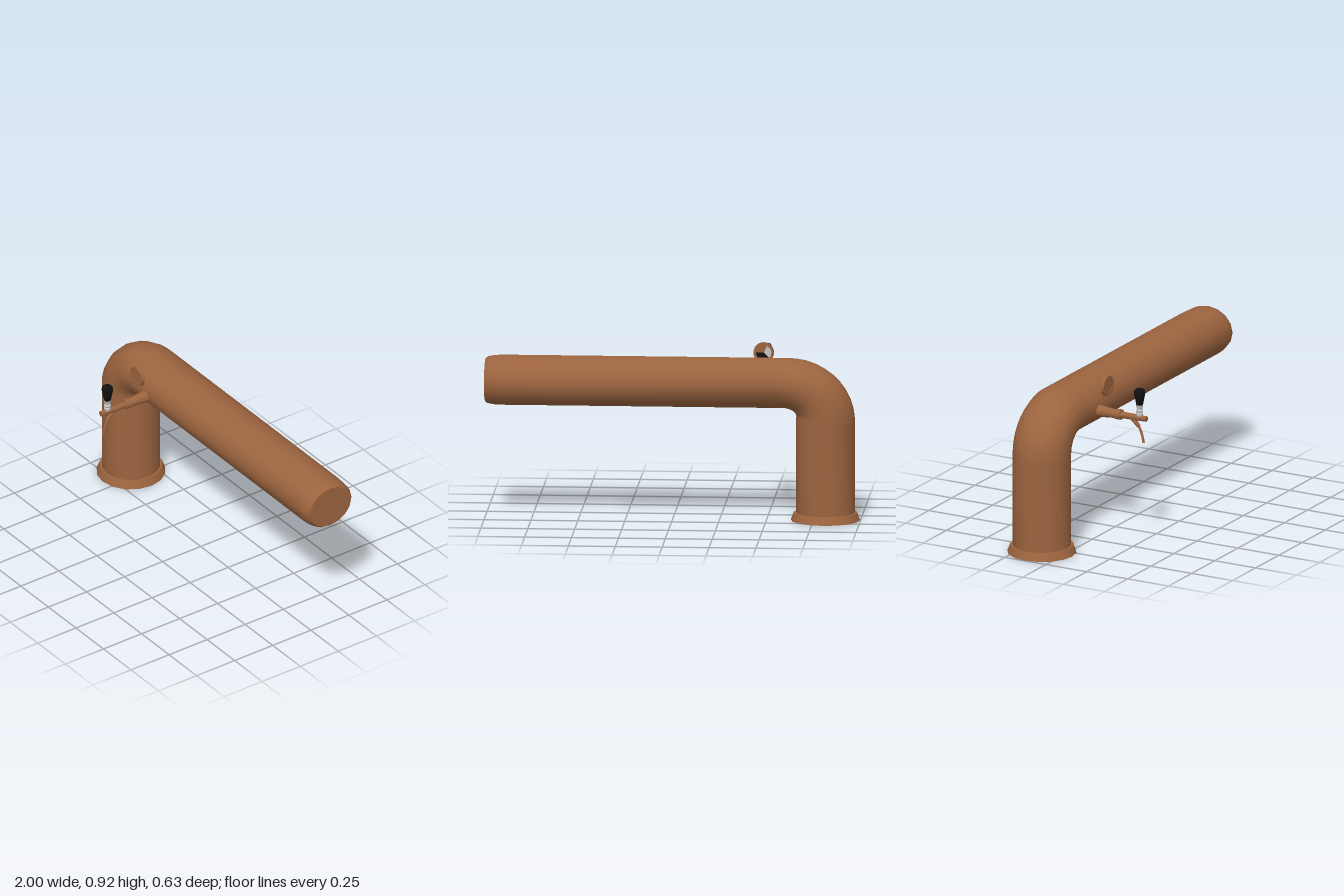
import * as THREE from 'three';

const copper = new THREE.MeshStandardMaterial({ color: 0x9c643f, side: THREE.DoubleSide });
copper.name = 'copper';
const black = new THREE.MeshStandardMaterial({ color: 0x111111 });
black.name = 'black';
const silver = new THREE.MeshStandardMaterial({ color: 0xc4c4c4 });
silver.name = 'silver';

const SIDES = 16, COLUMN_X = -0.813, PIPE_Y = 0.737, PIPE_Z = -0.13, TAP_X = -0.47, TAP_Y = 0.715;

function add(parent, name, geometry, material, x = 0, y = 0, z = 0) {
  const mesh = new THREE.Mesh(geometry, material);
  mesh.name = name;
  mesh.position.set(x, y, z);
  parent.add(mesh);
  return mesh;
}

// Lathe from [radius, height] pairs; each pair of points is its own band so edges stay crisp
function turned(parent, name, profile, material, sides = SIDES) {
  const group = new THREE.Group();
  group.name = name;
  for (let i = 0; i < profile.length - 1; i++) {
    const pts = [profile[i], profile[i + 1]].map(([r, h]) => new THREE.Vector2(r, h));
    add(group, name + 'Band', new THREE.LatheGeometry(pts, sides), material);
  }
  parent.add(group);
  return group;
}

// Elliptical rings { x, y, angle, r, depth } joined into one smooth bent pipe
function pipeGeometry(rings) {
  const pos = [], index = [];
  rings.forEach(({ x, y, angle, r, depth }, i) => {
    for (let j = 0; j < SIDES; j++) {
      const a = (j / SIDES) * Math.PI * 2, d = r * Math.cos(a);
      pos.push(x - Math.cos(angle) * d, y + Math.sin(angle) * d, PIPE_Z + depth * Math.sin(a));
      if (i === rings.length - 1) continue;
      const p = i * SIDES + j, q = i * SIDES + (j + 1) % SIDES;
      index.push(p, q, p + SIDES, q, q + SIDES, p + SIDES);
    }
  });
  const g = new THREE.BufferGeometry();
  g.setAttribute('position', new THREE.Float32BufferAttribute(pos, 3));
  g.setIndex(index);
  g.computeVertexNormals();
  return g;
}

export function createModel() {
  const model = new THREE.Group();
  model.name = 'tapTower';

  // Column, elbow and long arm with a rounded end
  const rings = [0.01, 0.3, 0.52].map(y => ({ x: COLUMN_X, y, angle: 0, r: 0.157, depth: 0.157 }));
  for (let i = 0; i <= 10; i++) {
    const t = (i / 10) * Math.PI / 2;
    rings.push({
      x: -0.6 - 0.213 * Math.cos(t), y: 0.55 + 0.187 * Math.sin(t),
      angle: t, r: 0.157 - 0.022 * i / 10, depth: 0.157,
    });
  }
  for (const [x, s] of [[-0.55, 1], [0.2, 1], [0.9, 1], [0.95, 0.985], [0.985, 0.94], [1, 0.86]])
    rings.push({ x, y: PIPE_Y, angle: Math.PI / 2, r: 0.135 * s, depth: 0.157 * s });
  add(model, 'pipe', pipeGeometry(rings), copper);

  const cap = add(model, 'pipeEndCap', new THREE.CircleGeometry(1, SIDES), copper, 1, PIPE_Y, PIPE_Z);
  cap.rotation.y = Math.PI / 2;
  cap.scale.set(0.157 * 0.86, 0.135 * 0.86, 1);

  // Flared foot ring, open underneath
  const foot = turned(model, 'footRing', [[0.16, 0], [0.185, 0], [0.169, 0.042], [0.156, 0.042]], copper);
  foot.position.set(COLUMN_X, 0, PIPE_Z);

  // Tap shank, nut and barrel along +z
  const tap = new THREE.Group();
  tap.name = 'tap';
  tap.position.set(TAP_X, TAP_Y, 0);
  model.add(tap);
  const barrel = turned(tap, 'tapBarrel', [
    [0.036, -0.01], [0.023, 0.131], [0.028, 0.131], [0.028, 0.164], [0.018, 0.164],
    [0.017, 0.23], [0.015, 0.316], [0, 0.316],
  ], copper);
  barrel.rotation.x = Math.PI / 2;

  // Spout: thick neck then a thin curved outlet
  const neck = new THREE.LineCurve3(new THREE.Vector3(0, -0.002, 0.228), new THREE.Vector3(0, -0.05, 0.27));
  const neckMesh = add(tap, 'spoutNeck', new THREE.CylinderGeometry(0.016, 0.01, 0.064, 12), copper);
  neckMesh.position.copy(neck.getPoint(0.5));
  neckMesh.quaternion.setFromUnitVectors(new THREE.Vector3(0, -1, 0), neck.getTangent(0));
  const outlet = new THREE.CatmullRomCurve3([
    new THREE.Vector3(0, -0.042, 0.264), new THREE.Vector3(0, -0.062, 0.276),
    new THREE.Vector3(0, -0.095, 0.289), new THREE.Vector3(0, -0.136, 0.298),
  ]);
  add(tap, 'spoutOutlet', new THREE.TubeGeometry(outlet, 8, 0.007, 10), copper);

  // Collar and handle above the barrel
  const lever = new THREE.Group();
  lever.name = 'lever';
  lever.position.set(0, 0, 0.273);
  tap.add(lever);
  turned(lever, 'collar', [
    [0.017, 0.012], [0.018, 0.026], [0.014, 0.03], [0.019, 0.036], [0.019, 0.044],
    [0.014, 0.049], [0.02, 0.073], [0, 0.073],
  ], silver);
  const grip = [[0, 0.073], [0.018, 0.073], [0.031, 0.14], [0.029, 0.152], [0.021, 0.161], [0, 0.163]];
  add(lever, 'handle', new THREE.LatheGeometry(grip.map(([r, h]) => new THREE.Vector2(r, h)), SIDES), black);

  // Round badge plate floating above the tap
  const badge = new THREE.Group();
  badge.name = 'badge';
  badge.position.set(TAP_X, 0.863, 0.076);
  model.add(badge);
  const rim = turned(badge, 'badgeRim', [
    [0.041, -0.009], [0.055, -0.009], [0.055, 0.009], [0.041, 0.009], [0.041, -0.009],
  ], copper, 20);
  rim.rotation.x = Math.PI / 2;
  add(badge, 'badgeFront', new THREE.CircleGeometry(0.042, 20), copper, 0, 0, 0.005);
  const back = [[silver, -0.25, 0.6], [copper, 0.35, 0.65], [black, 1, 0.75]];
  for (const [material, start, length] of back) {
    const g = new THREE.CircleGeometry(0.042, 10, start * Math.PI, length * Math.PI);
    add(badge, 'badgeBack', g, material, 0, 0, -0.003).rotation.y = Math.PI;
  }
  return model;
}
